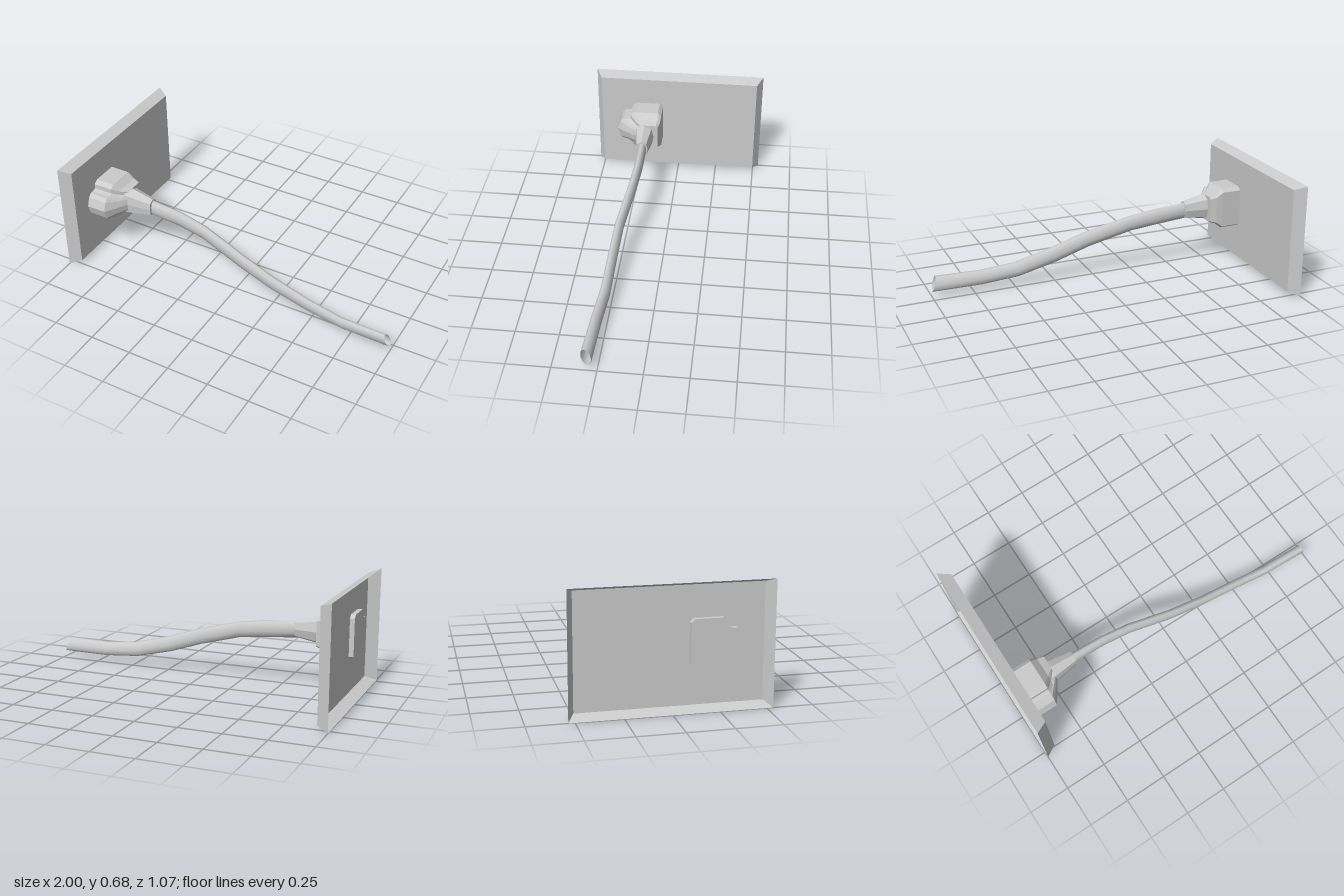
import * as THREE from 'three';

const material = new THREE.MeshStandardMaterial({ color: 0xcccccc, side: THREE.DoubleSide });
const flatMaterial = material.clone();
flatMaterial.flatShading = true;

// Skins a list of rings that advance along +x, each ordered counterclockwise seen from +x.
function loft(name, rings, { capStart = false, capEnd = false, smooth = false } = {}) {
  const n = rings[0].length;
  const index = [];
  for (let s = 0; s < rings.length - 1; s++) {
    for (let i = 0; i < n; i++) {
      const a = s * n + i, b = s * n + (i + 1) % n;
      index.push(a, b, a + n, b, b + n, a + n);
    }
  }
  const cap = (s, flip) => {
    const contour = rings[s].map(([, y, z]) => new THREE.Vector2(-z, y));
    for (const [a, b, c] of THREE.ShapeUtils.triangulateShape(contour, [])) {
      index.push(s * n + a, s * n + (flip ? c : b), s * n + (flip ? b : c));
    }
  };
  if (capStart) cap(0, true);
  if (capEnd) cap(rings.length - 1, false);

  let geometry = new THREE.BufferGeometry();
  geometry.setAttribute('position', new THREE.Float32BufferAttribute(rings.flat(2), 3));
  geometry.setIndex(index);
  if (!smooth) geometry = geometry.toNonIndexed();
  geometry.computeVertexNormals();
  const mesh = new THREE.Mesh(geometry, smooth ? material : flatMaterial);
  mesh.name = name;
  return mesh;
}

const rectangle = (x, y0, y1, z) => [[x, y1, -z], [x, y1, z], [x, y0, z], [x, y0, -z]];

// Plug outline as [z, y]: a square block with a rounded lobe on its +z side
const plugOutline = [
  [0.274, 0.485], [0.3, 0.466], [0.3, 0.437], [0.323, 0.43], [0.346, 0.43], [0.366, 0.411],
  [0.384, 0.357], [0.366, 0.3], [0.346, 0.284], [0.32, 0.283], [0.3, 0.266], [0.282, 0.243],
  [0.274, 0.23], [0.123, 0.23], [0.102, 0.243], [0.102, 0.466], [0.123, 0.485],
];

// Plug section with a height scale and limits on its depth
function plugRing(x, scaleY, zMin, zMax) {
  return plugOutline.map(([z, y]) => [
    x, 0.357 + (y - 0.357) * scaleY,
    THREE.MathUtils.mapLinear(z, 0.102, 0.384, zMin, zMax),
  ]);
}

// Strain relief base as [z, y]
const collarOutline = [
  [0.2, 0.44], [0.255, 0.416], [0.262, 0.355], [0.255, 0.296],
  [0.2, 0.276], [0.154, 0.296], [0.14, 0.355], [0.154, 0.416],
];

const collarRing = (x, scaleY, scaleZ) => collarOutline.map(([z, y]) => [
  x, 0.353 + (y - 0.353) * scaleY, 0.202 + (z - 0.202) * scaleZ,
]);

// Cable stations: x, y, z, half height
const cablePath = [
  [-0.62, 0.352, 0.198, 0.05], [-0.4, 0.335, 0.202, 0.05], [-0.23, 0.311, 0.216, 0.046],
  [0.04, 0.233, 0.258, 0.046], [0.25, 0.161, 0.271, 0.046], [0.48, 0.102, 0.279, 0.045],
  [0.7, 0.078, 0.299, 0.044], [0.985, 0.08, 0.309, 0.046],
];

// Flattened oval sections that slowly twist toward the far end
function cableRing([x, y, z, height], s) {
  const last = s === cablePath.length - 1;
  const next = cablePath[Math.min(s + 1, cablePath.length - 1)];
  const prev = cablePath[Math.max(s - 1, 0)];
  const slope = last ? -0.33 : -(next[1] - prev[1]) / (next[0] - prev[0]);
  const twist = 0.4 * s / (cablePath.length - 1);
  return Array.from({ length: 10 }, (_, i) => {
    const angle = i / 10 * Math.PI * 2;
    const u = Math.cos(angle) * height, v = Math.sin(angle) * 0.026;
    const dy = u * Math.cos(twist) - v * Math.sin(twist);
    const dz = u * Math.sin(twist) + v * Math.cos(twist);
    return [x + dy * slope, y + dy, z + dz];
  });
}

export function createModel() {
  const model = new THREE.Group();
  model.name = 'wallPlateWithCable';

  // Wall plate: sloped rim, open at the back
  model.add(loft('wallPlate', [
    rectangle(-1, 0, 0.682, 0.535),
    rectangle(-0.932, 0.025, 0.658, 0.498),
  ], { capEnd: true }));

  // Plug body pokes slightly through the plate and tapers toward the cable
  model.add(loft('plugBody', [
    plugRing(-0.96, 1, 0.102, 0.384),
    plugRing(-0.815, 1, 0.102, 0.384),
    plugRing(-0.775, 0.74, 0.106, 0.325),
    plugRing(-0.735, 0.64, 0.117, 0.262),
  ], { capStart: true, capEnd: true }));

  // Tapered strain relief
  model.add(loft('strainRelief', [
    collarRing(-0.76, 1, 1),
    collarRing(-0.73, 0.97, 0.95),
    collarRing(-0.59, 0.65, 0.6),
  ], { capStart: true, capEnd: true }));

  // Cable with an open cut end
  model.add(loft('cable', cablePath.map(cableRing), { smooth: true }));

  return model;
}
